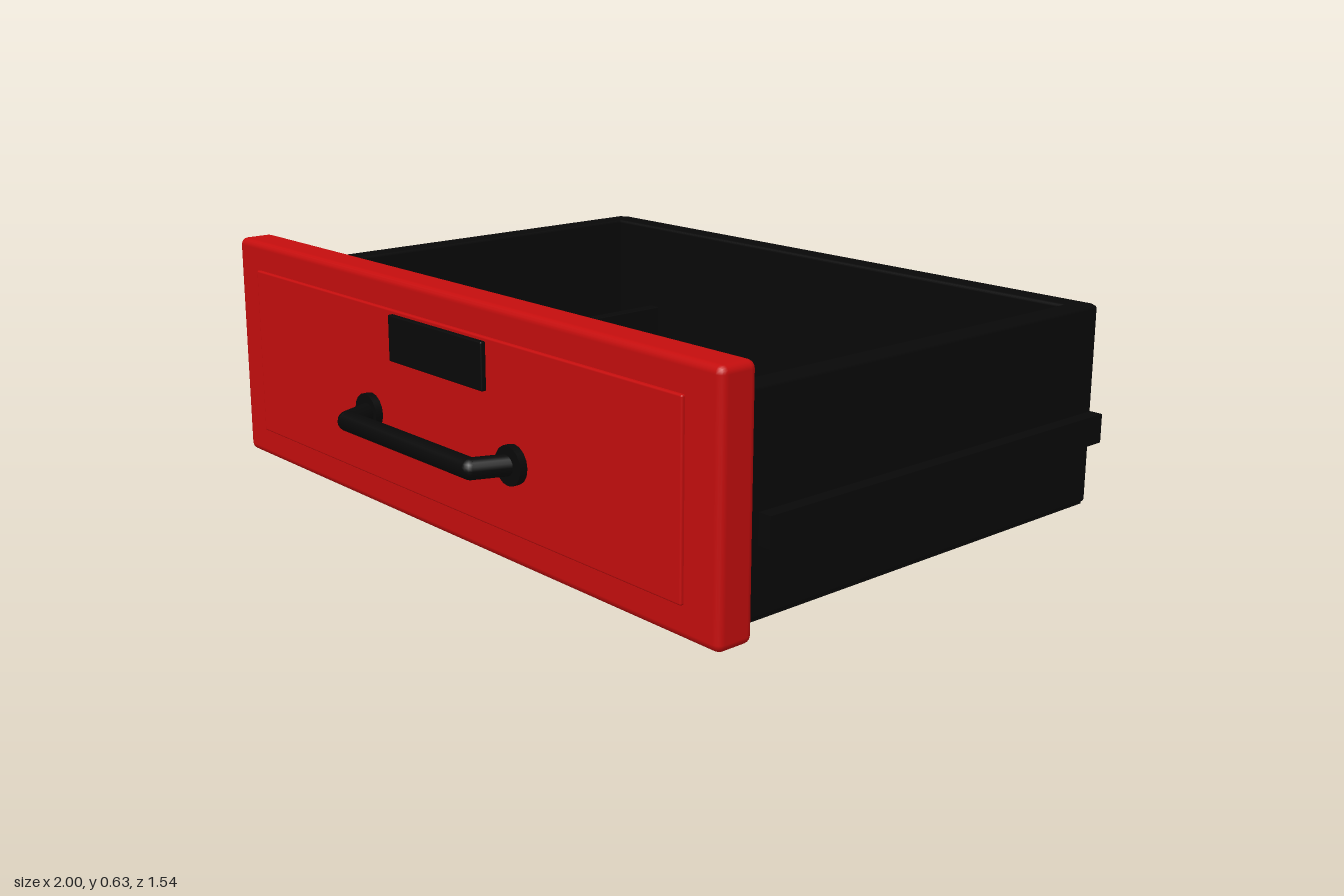
import * as THREE from 'three';
import { RoundedBoxGeometry } from 'three/addons/geometries/RoundedBoxGeometry.js';

export function createModel() {
  const red = new THREE.MeshStandardMaterial({ color: 0xc40d0d });
  red.name = 'redPaint';
  const black = new THREE.MeshStandardMaterial({ color: 0x080808 });
  black.name = 'blackPaint';

  const model = new THREE.Group();
  model.name = 'drawer';

  const add = (name, geometry, material, parent = model) => {
    const mesh = new THREE.Mesh(geometry, material);
    mesh.name = name;
    parent.add(mesh);
    return mesh;
  };
  // Box given by its lower and upper corners, with softly rounded edges
  const box = (name, material, [x0, y0, z0], [x1, y1, z1], radius = 0.01) => {
    const size = [x1 - x0, y1 - y0, z1 - z0];
    const geometry = radius ? new RoundedBoxGeometry(...size, 2, radius) : new THREE.BoxGeometry(...size);
    geometry.translate((x0 + x1) / 2, (y0 + y1) / 2, (z0 + z1) / 2);
    return add(name, geometry, material);
  };

  // Front: slab, raised panel and label plate
  box('frontSlab', red, [-1, 0.003, 0.53], [1, 0.635, 0.635], 0.02);
  box('raisedPanel', red, [-0.89, 0.085, 0.62], [0.89, 0.555, 0.644], 0.005);
  box('labelPlate', black, [-0.2, 0.423, 0.635], [0.2, 0.545, 0.657], 0.004);

  // Tray: floor, back and sides, open behind the front slab
  box('floor', black, [-0.935, 0.015, -0.757], [0.935, 0.04, 0.51], 0.003);
  box('backWall', black, [-0.928, 0.025, -0.773], [0.928, 0.555, -0.7]);
  for (const side of [-1, 1]) {
    const inner = side * 0.875, outer = side * 0.943;
    box('sideWall', black, [Math.min(inner, outer), 0.022, -0.762], [Math.max(inner, outer), 0.555, 0.512]);
    // Slide rail on the outside
    const a = side * 0.935, b = side * 0.98;
    box('slideRail', black, [Math.min(a, b), 0.195, -0.757], [Math.max(a, b), 0.272, 0.465], 0);
  }

  // Divider and the slightly turned slab lying on the floor
  box('divider', black, [-0.725, 0.03, -0.705], [-0.687, 0.29, 0.465], 0.004);
  const stack = add('floorStack', new THREE.BoxGeometry(1.4, 0.062, 1), black);
  stack.position.set(-0.02, 0.066, -0.102);
  stack.rotation.y = 0.04;

  // Handle: round bases, slanted posts and a straight bar
  const handle = new THREE.Group();
  handle.name = 'handle';
  handle.position.y = 0.266;
  model.add(handle);

  const rod = (name, from, to, radius) => {
    const dir = new THREE.Vector3().subVectors(to, from);
    const mesh = add(name, new THREE.CylinderGeometry(radius, radius, dir.length(), 16), black, handle);
    mesh.position.addVectors(from, to).multiplyScalar(0.5);
    mesh.quaternion.setFromUnitVectors(new THREE.Vector3(0, 1, 0), dir.normalize());
  };
  const bend = (side) => new THREE.Vector3(side * 0.268, 0, 0.744);
  for (const side of [-1, 1]) {
    const base = add('handleBase', new THREE.CylinderGeometry(0.05, 0.05, 0.03, 16), black, handle);
    base.rotation.x = Math.PI / 2;
    base.position.set(side * 0.308, 0, 0.65);
    rod('handlePost', new THREE.Vector3(side * 0.308, 0, 0.645), bend(side), 0.027);
    add('handleBend', new THREE.SphereGeometry(0.027, 16, 10), black, handle).position.copy(bend(side));
  }
  rod('handleBar', bend(-1), bend(1), 0.027);

  return model;
}
